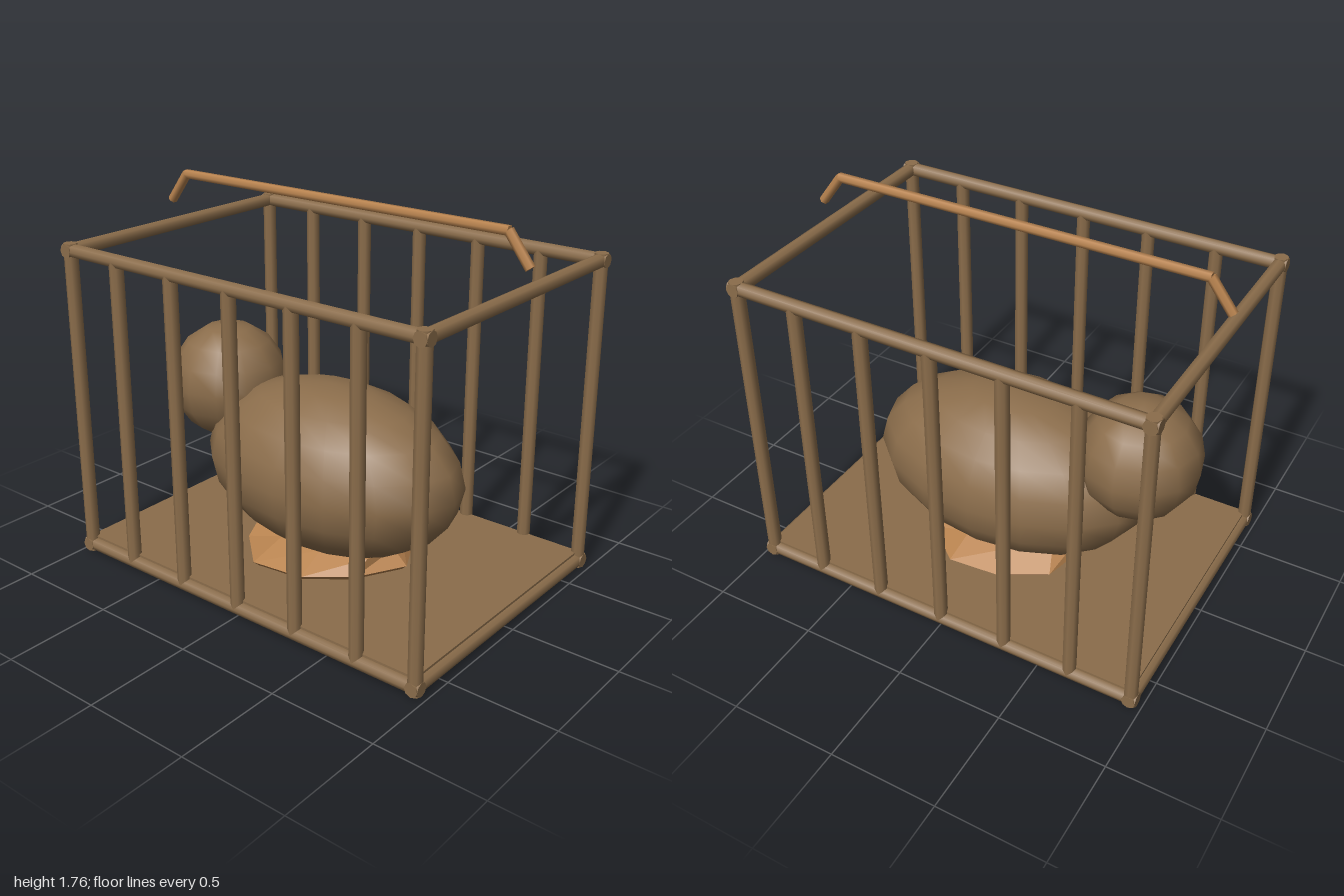
import * as THREE from 'three';

export function createModel() {
  const model = new THREE.Group();
  const wood = new THREE.MeshStandardMaterial({ color: 0x8b6d4b });
  wood.name = 'brown wood';
  const tan = new THREE.MeshStandardMaterial({ color: 0xb8834f });
  tan.name = 'light tan';
  const tanFlat = tan;

  const add = (name, geometry, material, parent = model) => {
    const mesh = new THREE.Mesh(geometry, material);
    mesh.name = name;
    parent.add(mesh);
    return mesh;
  };

  // straight round rod between two points
  const rod = (name, a, b, r, sides, material, parent) => {
    const from = new THREE.Vector3(...a), to = new THREE.Vector3(...b);
    const dir = to.clone().sub(from);
    const mesh = add(name, new THREE.CylinderGeometry(r, r, dir.length(), sides), material, parent);
    mesh.position.copy(from).add(to).multiplyScalar(0.5);
    mesh.quaternion.setFromUnitVectors(new THREE.Vector3(0, 1, 0), dir.normalize());
    return mesh;
  };

  // cage: rails, corner posts and bars on the two long sides
  const cage = new THREE.Group();
  cage.name = 'cage';
  model.add(cage);
  const R = 0.032, X = 0.95, Z = 0.66, LOW = 0.045, HIGH = 1.497;
  for (const y of [LOW, HIGH]) {
    for (const s of [-1, 1]) {
      rod('longRail', [-X - R, y, s * Z], [X + R, y, s * Z], R, 8, wood, cage);
      rod('shortRail', [s * X, y, -Z - R], [s * X, y, Z + R], R, 8, wood, cage);
    }
  }
  for (const sz of [-1, 1]) {
    for (const sx of [-1, 1]) {
      rod('cornerPost', [sx * X, LOW - R, sz * Z], [sx * X, HIGH + R, sz * Z], R, 8, wood, cage);
    }
    for (let i = -2; i <= 2; i++) {
      rod('bar', [i * 0.328, LOW, sz * Z], [i * 0.328, HIGH, sz * Z], R, 8, wood, cage);
    }
  }
  add('floor', new THREE.BoxGeometry(1.9, 0.063, 1.32), wood, cage).position.y = 0.0565;

  // bent carrying handle above the cage
  const handle = new THREE.Group();
  handle.name = 'handle';
  model.add(handle);
  rod('handleBar', [-0.88, 1.742, 0], [0.88, 1.742, 0], 0.022, 6, tan, handle);
  for (const s of [-1, 1]) {
    rod('handleEnd', [s * 0.875, 1.744, 0], [s * 0.98, 1.606, 0], 0.022, 6, tan, handle);
  }

  // animal: egg-shaped body and round head
  const body = add('body', new THREE.SphereGeometry(1, 16, 10), wood);
  body.scale.set(0.682, 0.4, 0.424);
  body.position.y = 0.5;
  add('head', new THREE.SphereGeometry(0.284, 12, 8), wood).position.set(-0.64, 0.775, 0);

  // bedding: irregular faceted cushion built from rings
  const wobble = [1.06, 0.95, 0.98, 0.93, 1, 0.95, 0.97, 1.05, 0.97, 0.94];
  const n = wobble.length;
  const rings = [ // y, x radius, z radius
    [0.002, 0.08, 0.08], [0.018, 0.25, 0.23], [0.075, 0.37, 0.37],
    [0.112, 0.41, 0.41], [0.178, 0.38, 0.25], [0.185, 0.1, 0.1],
  ];
  const points = [];
  const index = [];
  rings.forEach(([y, rx, rz], j) => {
    for (let i = 0; i < n; i++) {
      const a = (i / n) * Math.PI * 2;
      const w = wobble[(i + (j === 4 ? 1 : 0)) % n];
      points.push(Math.cos(a) * rx * w, y, -Math.sin(a) * rz * w);
      if (j > 0) {
        const k = (i + 1) % n, p = (j - 1) * n, q = j * n;
        index.push(p + i, p + k, q + k, p + i, q + k, q + i);
      }
    }
  });
  const top = (rings.length - 1) * n;
  for (let i = 1; i < n - 1; i++) {
    index.push(0, i + 1, i, top, top + i, top + i + 1);
  }
  const smooth = new THREE.BufferGeometry();
  smooth.setAttribute('position', new THREE.Float32BufferAttribute(points, 3));
  smooth.setIndex(index);
  const bedding = smooth.toNonIndexed();
  bedding.computeVertexNormals();
  add('bedding', bedding, tanFlat);

  return model;
}
